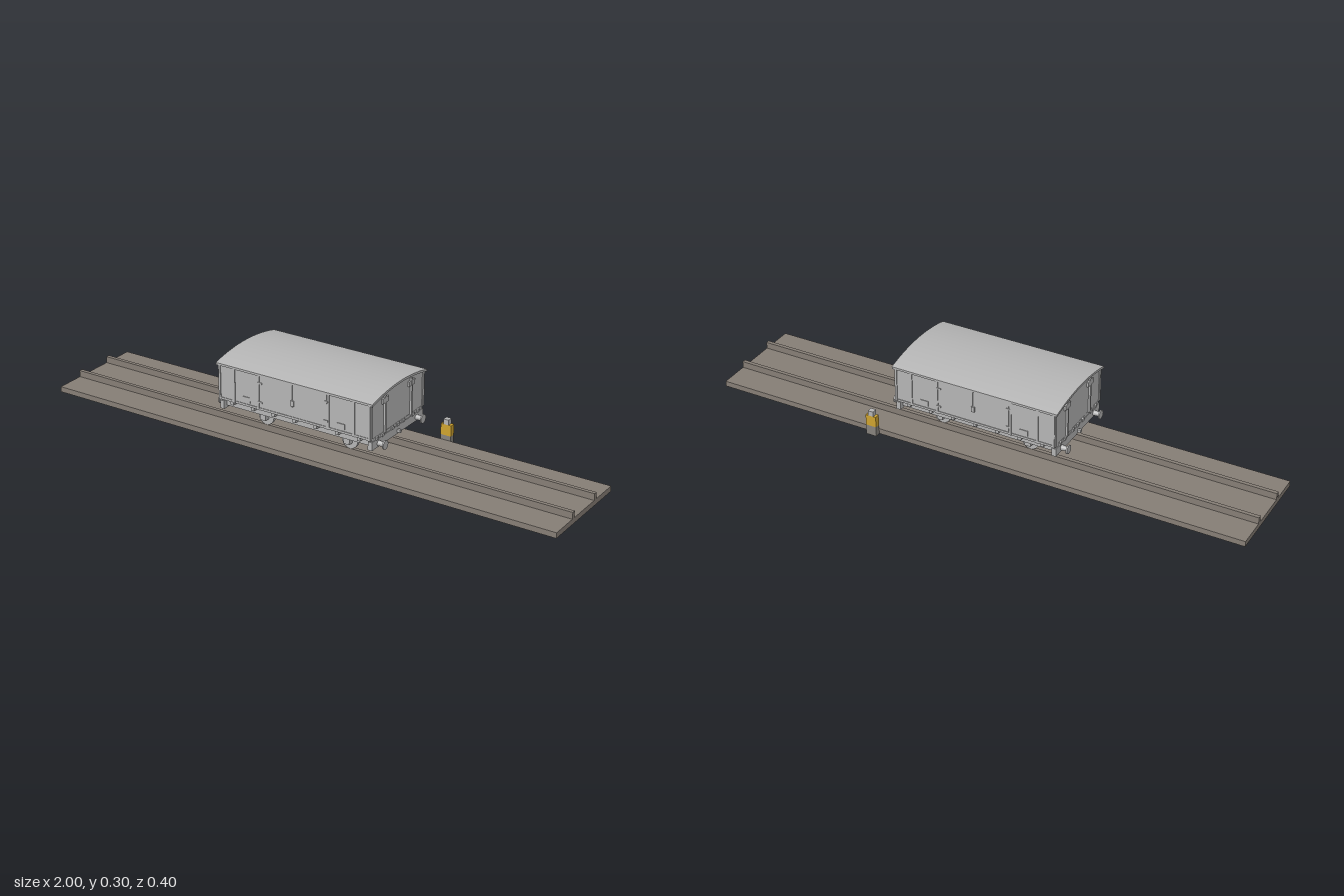
import * as THREE from 'three';
import { toCreasedNormals } from 'three/addons/utils/BufferGeometryUtils.js';

const mat = (name, color) => {
  const m = new THREE.MeshStandardMaterial({ color });
  m.name = name;
  return m;
};

export function createModel() {
  const model = new THREE.Group();
  model.name = 'wagonOnTrack';
  const wagonGrey = mat('wagonGrey', 0xb4b4b4);
  const trackBrown = mat('trackBrown', 0x857d75);
  const postGrey = mat('postGrey', 0x85827c);
  const yellow = mat('yellow', 0xcda22f);

  const add = (parent, name, geo, material, x = 0, y = 0, z = 0) => {
    const mesh = new THREE.Mesh(geo, material);
    mesh.name = name;
    mesh.position.set(x, y, z);
    parent.add(mesh);
    return mesh;
  };
  const box = (parent, name, material, w, h, d, x, y, z) =>
    add(parent, name, new THREE.BoxGeometry(w, h, d), material, x, y, z);

  // Track: base board and two rails
  const track = new THREE.Group();
  track.name = 'track';
  model.add(track);
  box(track, 'trackBase', trackBrown, 2, 0.02, 0.382, 0, 0.01, 0.011);
  for (const s of [-1, 1])
    box(track, 'rail', trackBrown, 2, 0.024, 0.014, 0, 0.032, 0.0115 + s * 0.0765);

  // Marker post beside the track
  const post = new THREE.Group();
  post.name = 'markerPost';
  post.position.set(0.378, 0, -0.191);
  model.add(post);
  box(post, 'postBase', postGrey, 0.04, 0.037, 0.02, 0, 0.0185, 0);
  box(post, 'postBand', yellow, 0.04, 0.04, 0.02, 0, 0.057, 0);
  box(post, 'postCap', wagonGrey, 0.02, 0.019, 0.02, 0, 0.0865, 0);

  // Wagon, centred over the rails
  const wagon = new THREE.Group();
  wagon.name = 'wagon';
  wagon.position.set(-0.002, 0, 0.0115);
  model.add(wagon);

  // Cross-section helpers: height of the roof arc, and extrusion along x
  const R = 0.691, apex = 0.296;
  const arcY = (u, drop) => apex - drop - R + Math.sqrt(R * R - u * u);
  const arc = (half, drop, n = 24) => Array.from({ length: n + 1 }, (_, i) => {
    const u = half - (2 * half * i) / n;
    return new THREE.Vector2(u, arcY(u, drop));
  });
  const alongX = (points, length) => {
    const geo = new THREE.ExtrudeGeometry(new THREE.Shape(points), { depth: length, bevelEnabled: false });
    geo.translate(0, 0, -length / 2);
    geo.rotateY(Math.PI / 2);
    return toCreasedNormals(geo, 0.5);
  };

  add(wagon, 'body', alongX([
    new THREE.Vector2(-0.169, 0.14), new THREE.Vector2(0.169, 0.14), ...arc(0.169, 0.006),
  ], 0.606), wagonGrey);
  add(wagon, 'roof', alongX([...arc(0.173, 0), ...arc(0.173, 0.008).reverse()], 0.626), wagonGrey);

  // Underframe and outer sole plates
  box(wagon, 'floor', wagonGrey, 0.6, 0.03, 0.29, 0, 0.125, 0);
  const soleShape = new THREE.Shape([
    [-0.288, 0.088], [0.288, 0.088], [0.3, 0.102], [0.3, 0.14], [-0.3, 0.14], [-0.3, 0.102],
  ].map(([x, y]) => new THREE.Vector2(x, y)));
  const soleGeo = new THREE.ExtrudeGeometry(soleShape, { depth: 0.015, bevelEnabled: false });
  soleGeo.translate(0, 0, -0.0075);

  const wheelX = 0.17;
  for (const s of [-1, 1]) {
    add(wagon, 'soleBar', soleGeo, wagonGrey, 0, 0, s * 0.094);

    // Side posts, rails and doors
    for (const x of [-0.3, -0.24, -0.14, 0.14, 0.24, 0.3])
      box(wagon, 'sidePost', wagonGrey, 0.008, 0.13, 0.005, x, 0.205, s * 0.1695);
    box(wagon, 'lowerSideRail', wagonGrey, 0.606, 0.008, 0.004, 0, 0.145, s * 0.169);
    for (const d of [-1, 1]) {
      box(wagon, 'doorLeaf', wagonGrey, 0.132, 0.112, 0.003, d * 0.068, 0.209, s * 0.1695);
      box(wagon, 'doorHinge', wagonGrey, 0.016, 0.006, 0.007, d * 0.132, 0.24, s * 0.17);
      box(wagon, 'doorHinge', wagonGrey, 0.016, 0.006, 0.007, d * 0.132, 0.17, s * 0.17);
      box(wagon, 'labelPlate', wagonGrey, 0.03, 0.02, 0.005, d * 0.19, 0.165, s * 0.169);
    }
    box(wagon, 'doorLatch', wagonGrey, 0.012, 0.02, 0.01, 0, 0.2, s * 0.171);
    for (let i = -3; i <= 3; i++)
      box(wagon, 'sideBracket', wagonGrey, 0.012, 0.014, 0.022, i * 0.085, 0.133, s * 0.153);

    // Wagon ends, s now picking the end along x
    box(wagon, 'headstock', wagonGrey, 0.016, 0.03, 0.324, s * 0.298, 0.117, 0);
    box(wagon, 'headstockTop', wagonGrey, 0.012, 0.012, 0.318, s * 0.298, 0.136, 0);
    for (const z of [-0.13, -0.095, -0.035, 0, 0.035, 0.095, 0.13])
      box(wagon, 'endBracket', wagonGrey, 0.006, 0.01, 0.014, s * 0.306, 0.136, z);
    for (const t of [-1, 1]) {
      box(wagon, 'endPost', wagonGrey, 0.012, 0.135, 0.008, s * 0.304, 0.206, t * 0.083);
      box(wagon, 'endPlate', wagonGrey, 0.008, 0.018, 0.038, s * 0.305, 0.257, t * 0.083);
      box(wagon, 'cornerPost', wagonGrey, 0.006, 0.128, 0.011, s * 0.303, 0.204, t * 0.1635);
      const shank = new THREE.CylinderGeometry(0.008, 0.01, 0.028, 16).rotateZ(Math.PI / 2 * -s);
      add(wagon, 'bufferShank', shank, wagonGrey, s * 0.316, 0.115, t * 0.1205);
      const head = new THREE.CylinderGeometry(0.016, 0.016, 0.005, 24).rotateZ(Math.PI / 2);
      add(wagon, 'bufferHead', head, wagonGrey, s * 0.331, 0.115, t * 0.1205);
    }
    box(wagon, 'couplingHook', wagonGrey, 0.014, 0.011, 0.009, s * 0.311, 0.113, 0);

    // Wheelset with axle boxes and springs
    const wheelset = new THREE.Group();
    wheelset.name = 'wheelset';
    wheelset.position.set(s * wheelX, 0.075, 0);
    wagon.add(wheelset);
    add(wheelset, 'axle', new THREE.CylinderGeometry(0.005, 0.005, 0.2, 16).rotateX(Math.PI / 2), wagonGrey);
    for (const t of [-1, 1]) {
      add(wheelset, 'wheel', new THREE.CylinderGeometry(0.031, 0.031, 0.012, 32).rotateX(Math.PI / 2),
        wagonGrey, 0, 0, t * 0.077);
      box(wheelset, 'axleBox', wagonGrey, 0.022, 0.024, 0.02, 0, 0.004, t * 0.094);
      box(wheelset, 'spring', wagonGrey, 0.075, 0.007, 0.012, 0, 0.018, t * 0.098);
    }
  }
  return model;
}
